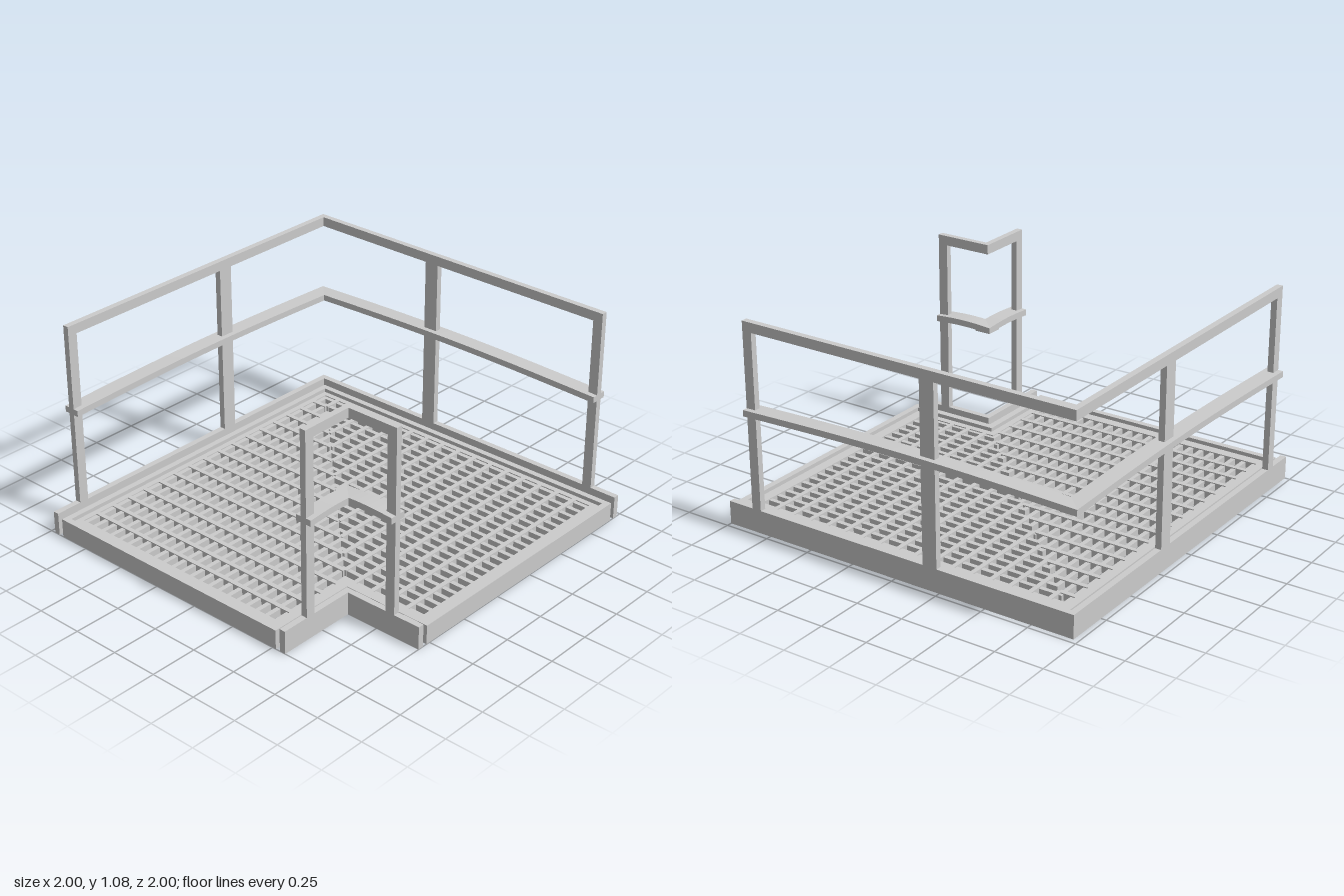
import * as THREE from 'three';
import { mergeGeometries } from 'three/addons/utils/BufferGeometryUtils.js';

const material = new THREE.MeshStandardMaterial({ color: 0xcccccc });

// Box from its limits; swap exchanges x and z (the platform is symmetric about its diagonal)
function barGeometry([x0, x1], [y0, y1], [z0, z1], swap, rise = 0) {
  const [a, b] = swap ? [[z0, z1], [x0, x1]] : [[x0, x1], [z0, z1]];
  const n = rise ? 16 : 1;
  const geo = new THREE.BoxGeometry(a[1] - a[0], y1 - y0, b[1] - b[0], swap ? 1 : n, 1, swap ? n : 1);
  if (rise) {
    // gentle upward bow along the length
    const p = geo.attributes.position;
    for (let i = 0; i < p.count; i++) {
      const t = (swap ? p.getZ(i) : p.getX(i)) / (x1 - x0);
      p.setY(i, p.getY(i) + rise * Math.cos(Math.PI * t));
    }
    geo.computeVertexNormals();
  }
  return geo.translate((a[0] + a[1]) / 2, (y0 + y1) / 2, (b[0] + b[1]) / 2);
}

function addMesh(parent, name, geometry) {
  const mesh = new THREE.Mesh(geometry, material);
  mesh.name = name;
  parent.add(mesh);
  return mesh;
}

// L-shaped outline with the front left corner cut away
function outline(min, max, notch, Type) {
  return new Type([
    [min, min], [max, min], [max, notch], [notch, notch], [notch, max], [min, max],
  ].map(([x, z]) => new THREE.Vector2(x, z)));
}

// L-shaped ring between two outlines, from y0 up to y1
function ringGeometry(outer, inner, y0, y1) {
  const shape = outline(...outer, THREE.Shape);
  shape.holes.push(outline(...inner, THREE.Path));
  return new THREE.ExtrudeGeometry(shape, { depth: y1 - y0, bevelEnabled: false })
    .rotateX(Math.PI / 2).translate(0, y1, 0);
}

// Two railing arms meeting at a corner on the diagonal
function railing(name, corner, postStarts, rise) {
  const group = new THREE.Group();
  group.name = name;
  const end = 0.855;
  const thick = [corner, corner + 0.032];
  for (const swap of [false, true]) {
    addMesh(group, 'toeBoard', barGeometry([corner, 1], [0, 0.12], thick, swap));
    addMesh(group, 'topRail', barGeometry([corner, end], [1.03, 1.08], thick, swap));
    addMesh(group, 'middleRail',
      barGeometry([corner - 0.027, end], [0.61, 0.642], [corner - 0.027, corner + 0.06], swap, rise));
    for (const [x0, x1] of postStarts) {
      addMesh(group, 'post', barGeometry([x0, x1], [0.12, 1.03], thick, swap));
    }
  }
  return group;
}

function createGrating() {
  const bars = [];
  for (const swap of [false, true]) {
    // closely spaced bars, each turning a corner on the diagonal
    for (let i = 0; i < 22; i++) {
      const c = -0.84 + i * 0.061;
      bars.push(barGeometry([c - 0.012, 0.935], [0.04, 0.075], [c - 0.012, c + 0.012], swap));
    }
    // wider spaced cross bars, stopping at the diagonal
    for (let i = 0; i < 17; i++) {
      const c = 0.925 - i * 0.1055;
      bars.push(barGeometry([c - 0.012, c + 0.012], [0.045, 0.08], [-0.855, Math.min(c, 0.45)], swap));
    }
  }
  return mergeGeometries(bars);
}

export function createModel() {
  const model = new THREE.Group();
  model.name = 'cornerPlatform';

  // Angle-section frame: upright rim and lower ledge
  const frame = new THREE.Group();
  frame.name = 'frame';
  addMesh(frame, 'rim', ringGeometry([-0.914, 1, 0.52], [-0.882, 0.967, 0.483], 0, 0.1));
  addMesh(frame, 'ledge', ringGeometry([-0.882, 0.967, 0.483], [-0.852, 0.932, 0.448], 0, 0.08));
  model.add(frame);

  addMesh(model, 'grating', createGrating());

  // Outer railing along the back and right, inner railing around the notch
  const endPost = [0.803, 0.855];
  model.add(railing('outerRailing', -0.973, [[-0.238, -0.16], endPost], 0.02));
  model.add(railing('innerRailing', 0.545, [endPost], 0.008));
  return model;
}
